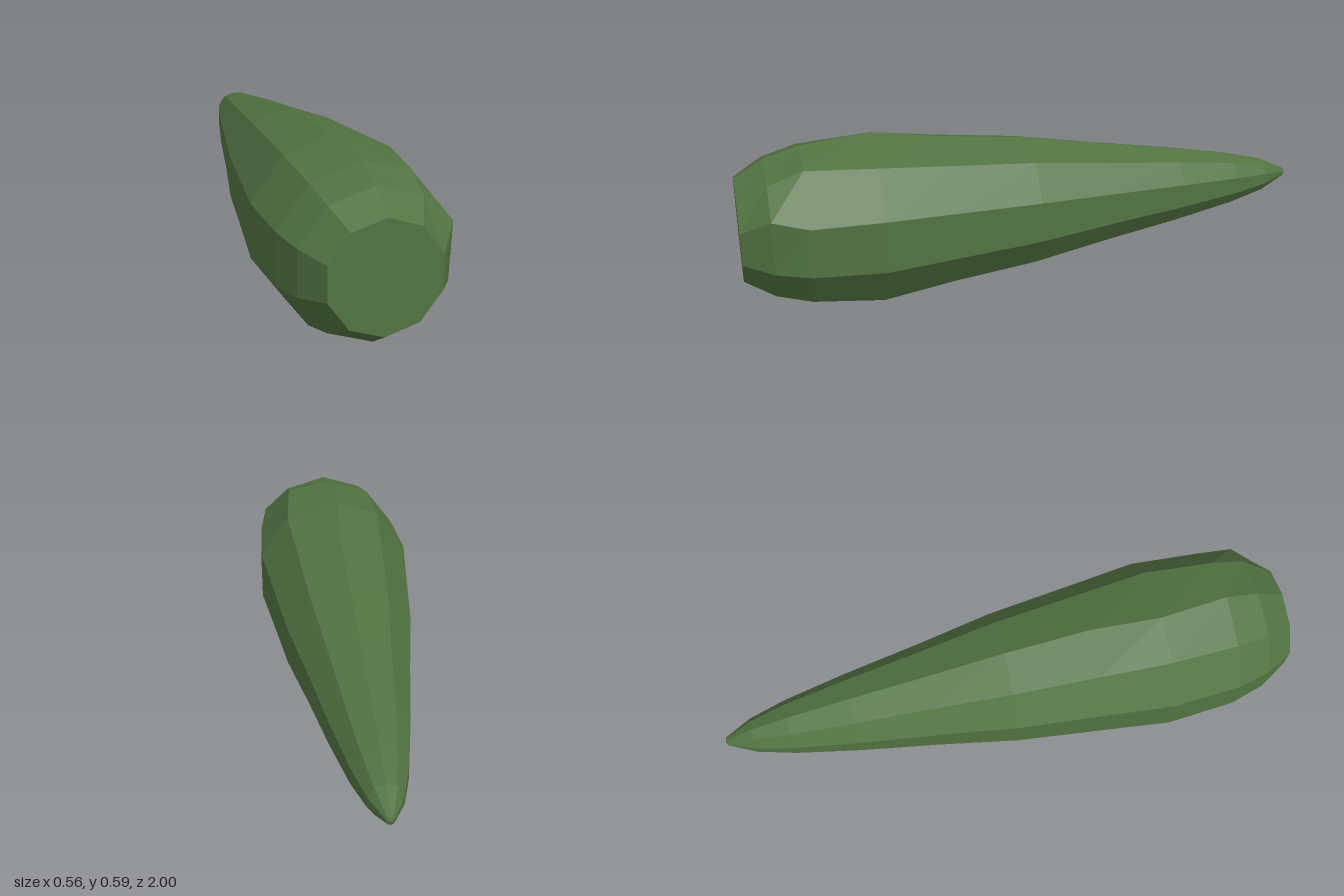
import * as THREE from 'three';

const SIDES = 10;
const CENTRE_Y = 0.296;

// [z, radius] from the pointed tip to the blunt front end
const PROFILE = [
  [-1, 0], [-0.995, 0.014], [-0.9, 0.06], [-0.77, 0.095], [-0.55, 0.137],
  [-0.28, 0.181], [0, 0.231], [0.3, 0.265], [0.54, 0.293],
  [0.78, 0.277], [0.9, 0.243], [1, 0.182], [1, 0],
];

// Small hand-made irregularities: [x, y, z] of a corner and its [dx, dy]
const NUDGES = [
  [[0, 0.589, 0.54], [-0.025, 0]],
  [[0.172, 0.059, 0.54], [-0.009, -0.013]],
  [[0.143, 0.493, 0.9], [0.003, 0.004]],
  [[0.163, 0.52, 0.78], [-0.014, 0.02]],
  [[0.231, 0.371, 0.9], [0.008, 0.038]],
];

export function createModel() {
  const group = new THREE.Group();
  group.name = 'taperedVegetable';

  // Ten-sided body turned along z, with a corner at top and bottom
  const geometry = new THREE.LatheGeometry(
    PROFILE.map(([z, r]) => new THREE.Vector2(r, z)), SIDES);
  geometry.rotateX(Math.PI / 2);
  geometry.translate(0, CENTRE_Y, 0);

  // Push single corners slightly out of the regular rings
  const pos = geometry.attributes.position;
  const v = new THREE.Vector3();
  for (let i = 0; i < pos.count; i++) {
    v.fromBufferAttribute(pos, i);
    for (const [corner, [dx, dy]] of NUDGES) {
      if (v.distanceTo(new THREE.Vector3(...corner)) < 0.01) {
        pos.setXY(i, v.x + dx, v.y + dy);
      }
    }
  }
  geometry.computeVertexNormals();

  const body = new THREE.Mesh(geometry, new THREE.MeshStandardMaterial({
    color: 0x527342, flatShading: true,
  }));
  body.name = 'body';
  group.add(body);
  return group;
}
